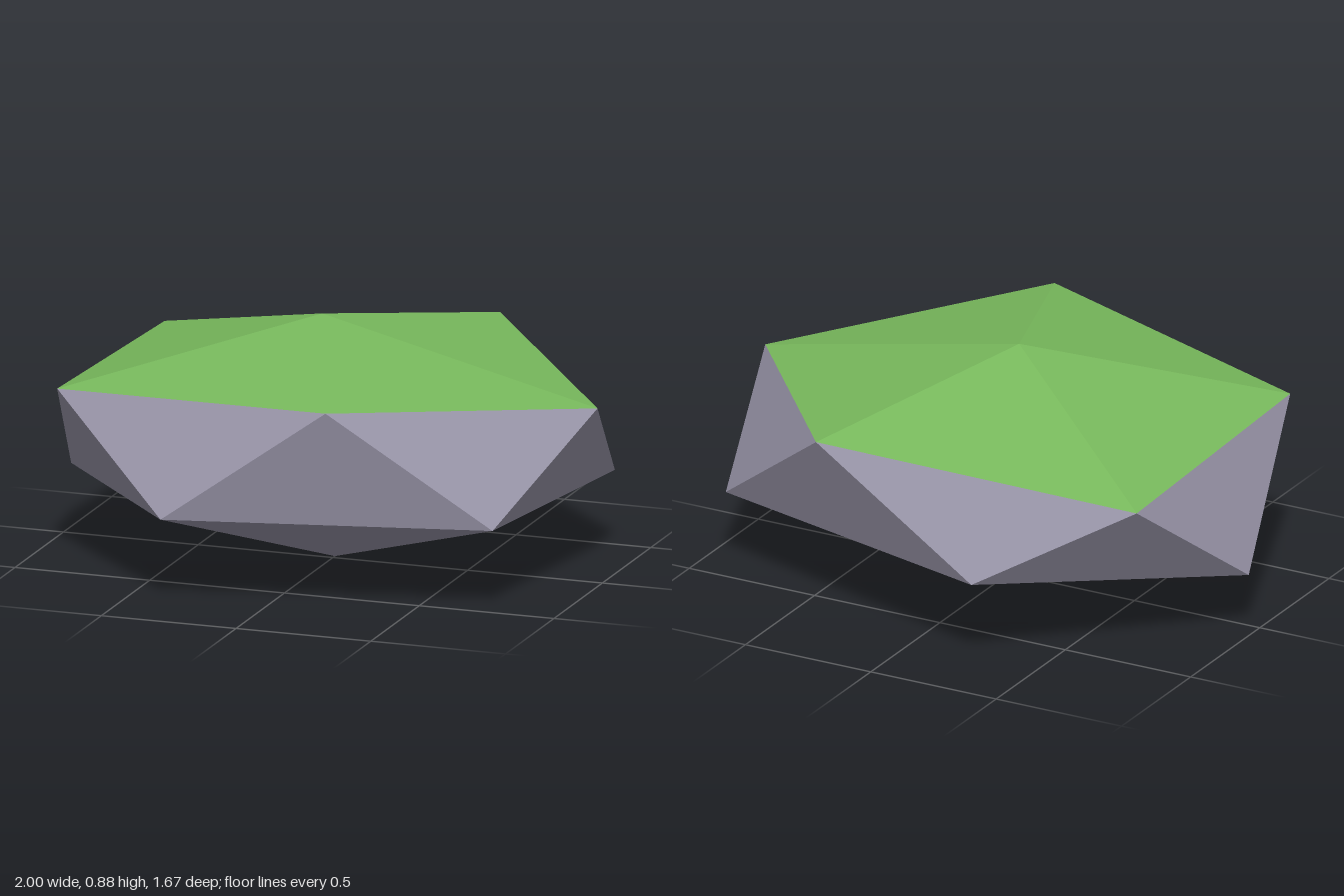
import * as THREE from 'three';

// Builds a faceted mesh from a list of triangles, each made of three [x, y, z] points
function facets(name, triangles, material) {
  const geometry = new THREE.BufferGeometry();
  geometry.setAttribute('position', new THREE.Float32BufferAttribute(triangles.flat(2), 3));
  geometry.computeVertexNormals();
  const mesh = new THREE.Mesh(geometry, material);
  mesh.name = name;
  return mesh;
}

export function createModel() {
  const grass = new THREE.MeshStandardMaterial({ color: 0x78b95c, flatShading: true });
  grass.name = 'grass green';
  const stone = new THREE.MeshStandardMaterial({ color: 0x9b97ab, flatShading: true });
  stone.name = 'stone grey';

  // Irregular squashed icosahedron: two poles and two staggered rings of five
  const peak = [-0.04, 0.88, 0];
  const foot = [0, 0, -0.02];
  const upper = [
    [-0.84, 0.665, 0.51], [0.26, 0.75, 0.8], [1, 0.645, 0.05],
    [0.34, 0.72, -0.78], [-0.84, 0.625, -0.6],
  ];
  const lower = [
    [-0.34, 0.32, 0.835], [0.79, 0.31, 0.55], [0.89, 0.288, -0.435],
    [-0.31, 0.332, -0.835], [-1, 0.23, -0.08],
  ];

  const cap = [], sides = [], underside = [];
  for (let i = 0; i < 5; i++) {
    const j = (i + 1) % 5;
    cap.push([peak, upper[i], upper[j]]);
    sides.push([upper[i], lower[i], upper[j]], [lower[i], lower[j], upper[j]]);
    underside.push([foot, lower[j], lower[i]]);
  }

  const model = new THREE.Group();
  model.name = 'grassyRock';
  model.add(
    facets('grassTop', cap, grass),
    facets('rockSides', sides, stone),
    facets('rockUnderside', underside, stone),
  );
  return model;
}
